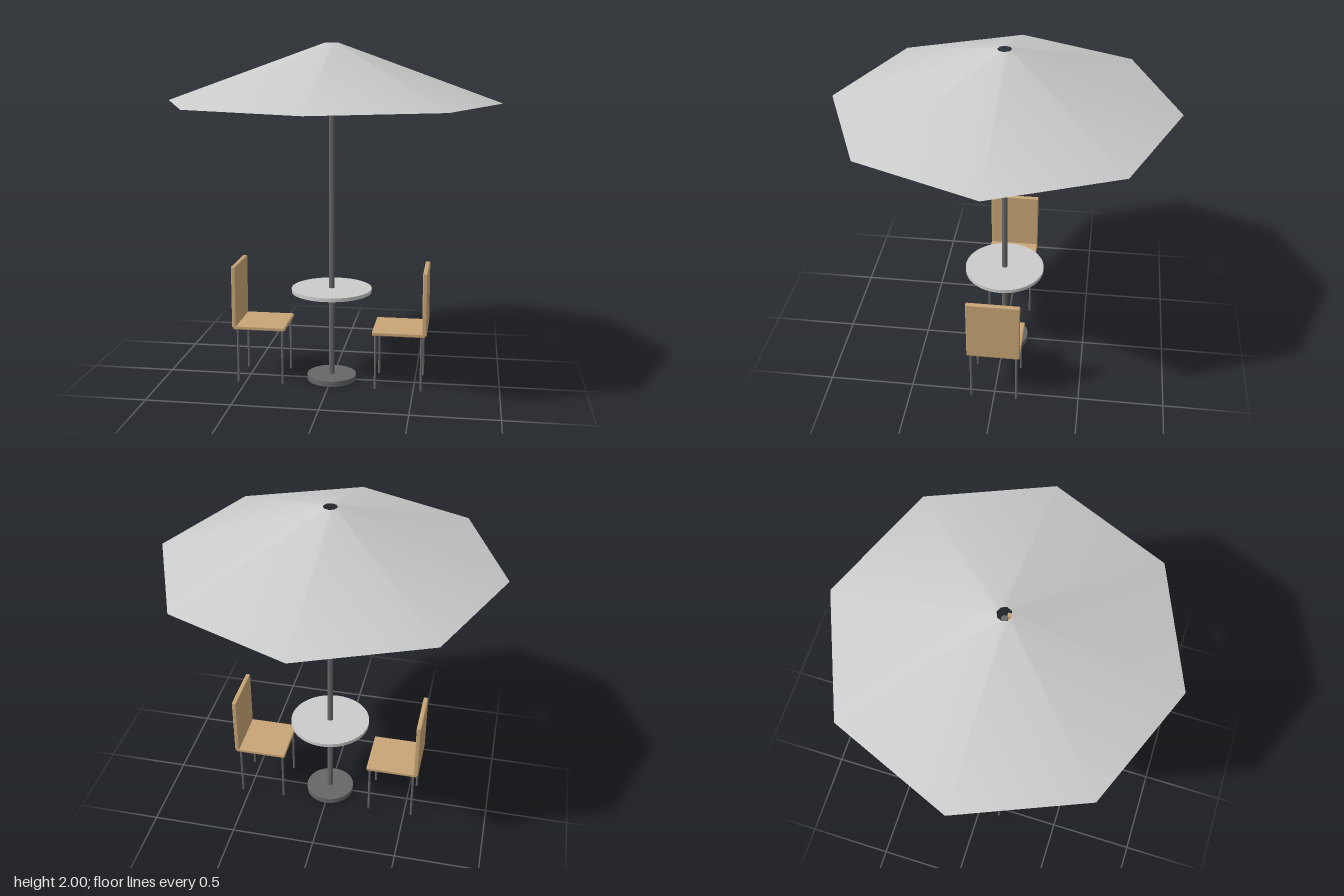
import * as THREE from 'three';
import { RoundedBoxGeometry } from 'three/addons/geometries/RoundedBoxGeometry.js';

const grey = new THREE.MeshStandardMaterial({ color: 0xcccccc });
const cloth = new THREE.MeshStandardMaterial({ color: 0xcccccc, side: THREE.DoubleSide });
const metal = new THREE.MeshStandardMaterial({ color: 0x666668 });
const wood = new THREE.MeshStandardMaterial({ color: 0xc8a577 });

function add(parent, name, geometry, material, x, y, z) {
  const mesh = new THREE.Mesh(geometry, material);
  mesh.name = name;
  mesh.position.set(x, y, z);
  parent.add(mesh);
  return mesh;
}

// Upright disc or rod standing on height y0
function rod(parent, name, radius, y0, y1, material, x = 0, z = 0, sides = 32) {
  const geometry = new THREE.CylinderGeometry(radius, radius, y1 - y0, sides);
  return add(parent, name, geometry, material, x, (y0 + y1) / 2, z);
}

// Chair on the +x side, facing the table
function createChair(name) {
  const chair = new THREE.Group();
  chair.name = name;
  add(chair, 'seat', new RoundedBoxGeometry(0.31, 0.024, 0.308, 2, 0.007), wood, 0.412, 0.34, 0);
  add(chair, 'backrest', new RoundedBoxGeometry(0.028, 0.374, 0.308, 2, 0.007), wood, 0.561, 0.525, 0);
  for (const x of [0.276, 0.544]) {
    for (const z of [-0.134, 0.134]) rod(chair, 'chairLeg', 0.007, 0, 0.332, metal, x, z, 12);
  }
  return chair;
}

export function createModel() {
  const model = new THREE.Group();
  model.name = 'patioSet';

  // Parasol: weighted foot, pole and open eight-sided canopy
  rod(model, 'base', 0.147, 0, 0.032, metal);
  rod(model, 'pole', 0.017, 0.03, 1.95, metal, 0, 0, 16);
  const canopy = new THREE.CylinderGeometry(0.04, 0.968, 0.333, 8, 1, true);
  add(model, 'canopy', canopy, cloth, 0, 1.8335, 0);

  // Round table threaded on the pole
  rod(model, 'tableTop', 0.238, 0.545, 0.567, grey, 0, 0, 48);

  // Two chairs facing each other
  const left = createChair('leftChair');
  const right = createChair('rightChair');
  right.rotation.y = Math.PI;
  model.add(left, right);
  return model;
}
